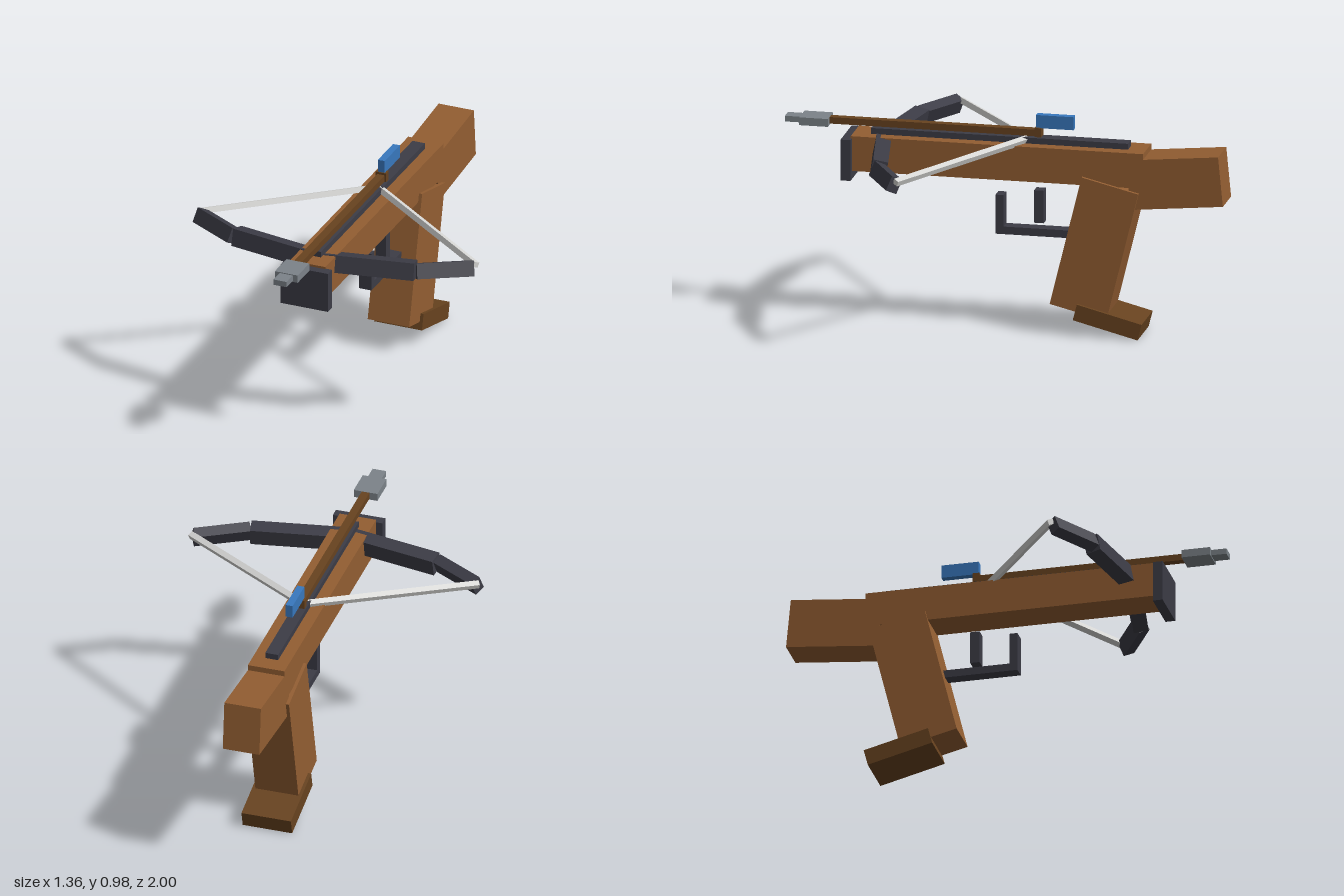
import * as THREE from 'three';

const mat = (name, color) => {
  const m = new THREE.MeshStandardMaterial({ color });
  m.name = name;
  return m;
};

export function createModel() {
  const model = new THREE.Group();
  model.name = 'crossbow';

  const wood = mat('wood', 0x935e32);
  const darkWood = mat('dark wood', 0x68431f);
  const iron = mat('dark iron', 0x3c3c46);
  const steel = mat('steel', 0x7c8389);
  const cord = mat('cord', 0xd8d8d6);
  const blue = mat('blue fletching', 0x3878be);

  // Box by size and centre; rotation is tilt (x), pitch (z), then yaw (y)
  const box = (name, material, size, pos, rot = [0, 0, 0]) => {
    const mesh = new THREE.Mesh(new THREE.BoxGeometry(...size), material);
    mesh.name = name;
    mesh.position.set(...pos);
    mesh.rotation.set(...rot, 'YZX');
    model.add(mesh);
    return mesh;
  };

  // Stock, shoulder piece and grip
  box('stock', wood, [0.17, 0.16, 1.325], [0, 0.775, 0.0275]);
  box('buttStock', wood, [0.17, 0.228, 0.42], [0, 0.728, -0.777], [0.096, 0, 0]);
  box('grip', wood, [0.2, 0.61, 0.264], [0, 0.407, -0.4155], [0.24, 0, 0].map((v) => -v).map((v) => -v));
  box('gripBase', darkWood, [0.23, 0.075, 0.303], [0, 0.077, -0.479], [-0.25, 0, 0]);

  // Grip leans so its foot is forward and its underside faces forward
  model.getObjectByName('grip').rotation.x = -0.24;

  // Iron fittings
  box('nosePlate', iron, [0.23, 0.188, 0.045], [0, 0.751, 0.707]);
  box('rail', iron, [0.06, 0.03, 1.165], [0, 0.867, 0.0275]);
  box('trigger', iron, [0.05, 0.15, 0.043], [0, 0.565, -0.15]);
  box('guardFront', iron, [0.06, 0.18, 0.037], [0, 0.52, 0.027]);
  box('guardBottom', iron, [0.06, 0.035, 0.37], [0, 0.4475, -0.14]);

  // Bow limbs and string, mirrored
  for (const [side, s] of [['left', 1], ['right', -1]]) {
    box(side + 'InnerLimb', iron, [0.44, 0.08, 0.068], [s * 0.215, 0.813, 0.525], [-0.2, s * 0.18, 0]);
    box(side + 'OuterLimb', iron, [0.255, 0.07, 0.052], [s * 0.55, 0.814, 0.43], [-0.42, s * 0.52, 0]);
    box(side + 'String', cord, [0.81, 0.025, 0.027], [s * 0.335, 0.849, 0.13], [-0.4, s * -0.6, s * -0.05]);
  }

  // Bolt resting on the rail
  box('boltShaft', darkWood, [0.036, 0.03, 0.96], [0, 0.902, 0.32]);
  box('boltNock', darkWood, [0.05, 0.042, 0.03], [0, 0.906, -0.145]);
  box('boltHead', steel, [0.11, 0.036, 0.13], [0, 0.9, 0.865]);
  box('boltTip', steel, [0.063, 0.026, 0.075], [0, 0.901, 0.9625]);
  box('boltFletching', blue, [0.033, 0.06, 0.17], [0, 0.955, -0.22]);

  return model;
}
